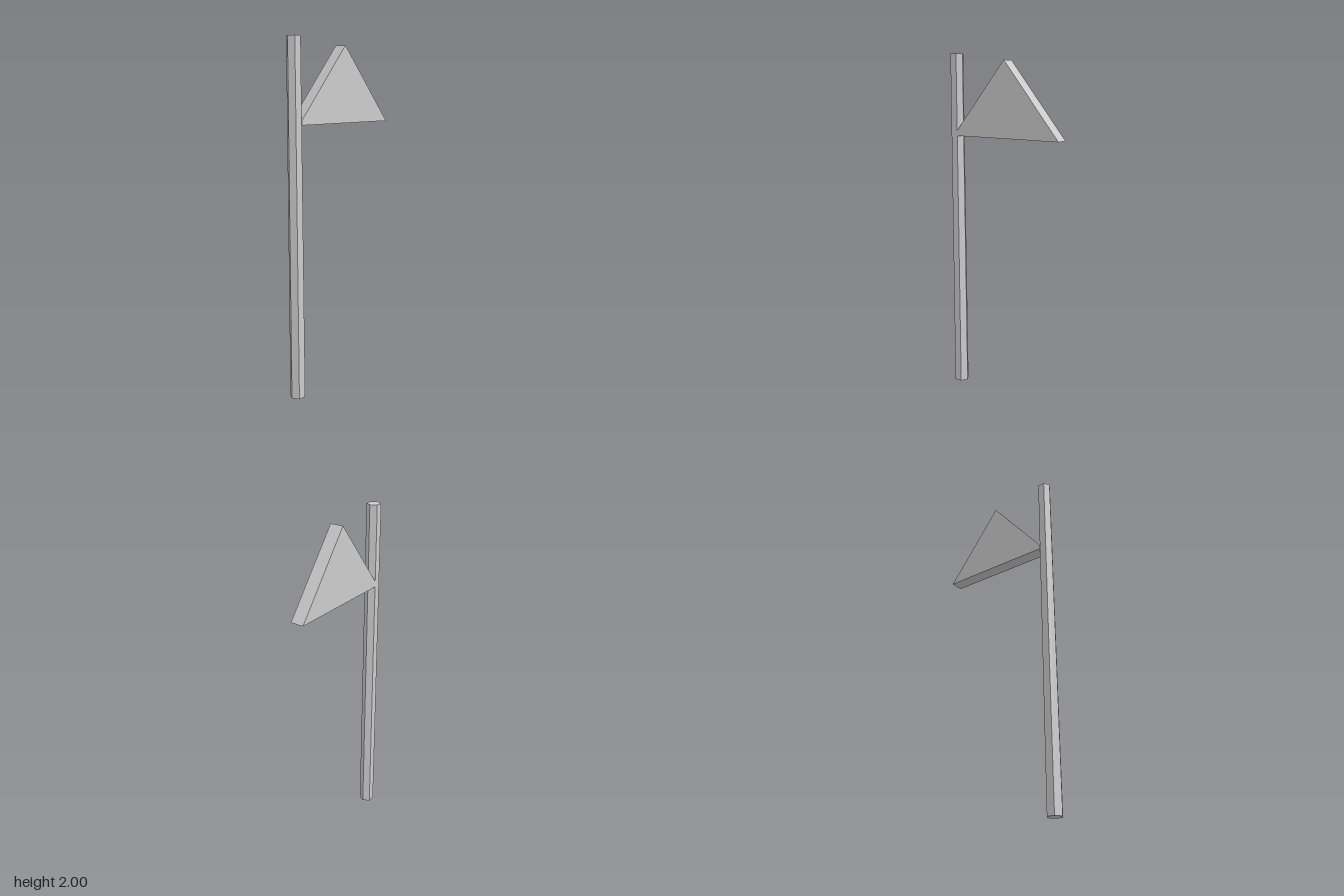
import * as THREE from 'three';

export function createModel() {
  const group = new THREE.Group();
  const material = new THREE.MeshStandardMaterial({ color: 0xcccccc, flatShading: true });

  // Slightly tapered six-sided pole, corners pointing along x
  const pole = new THREE.Mesh(
    new THREE.CylinderGeometry(0.0395, 0.0445, 2, 6, 1, false, Math.PI / 6), material);
  pole.name = 'pole';
  pole.position.set(-0.324, 1, 0);
  group.add(pole);

  // Thick triangular pennant, its inner tip cut off at the pole's corner edges
  const depth = 0.077;
  const outline = new THREE.Shape([
    [-0.304, 1.54], [0.367, 1.54], [0.021, 1.963], [-0.304, 1.566],
  ].map(([x, y]) => new THREE.Vector2(x, y)));
  const flag = new THREE.Mesh(
    new THREE.ExtrudeGeometry(outline, { depth, bevelEnabled: false }), material);
  flag.name = 'flag';
  flag.position.z = -depth / 2;
  group.add(flag);

  return group;
}
